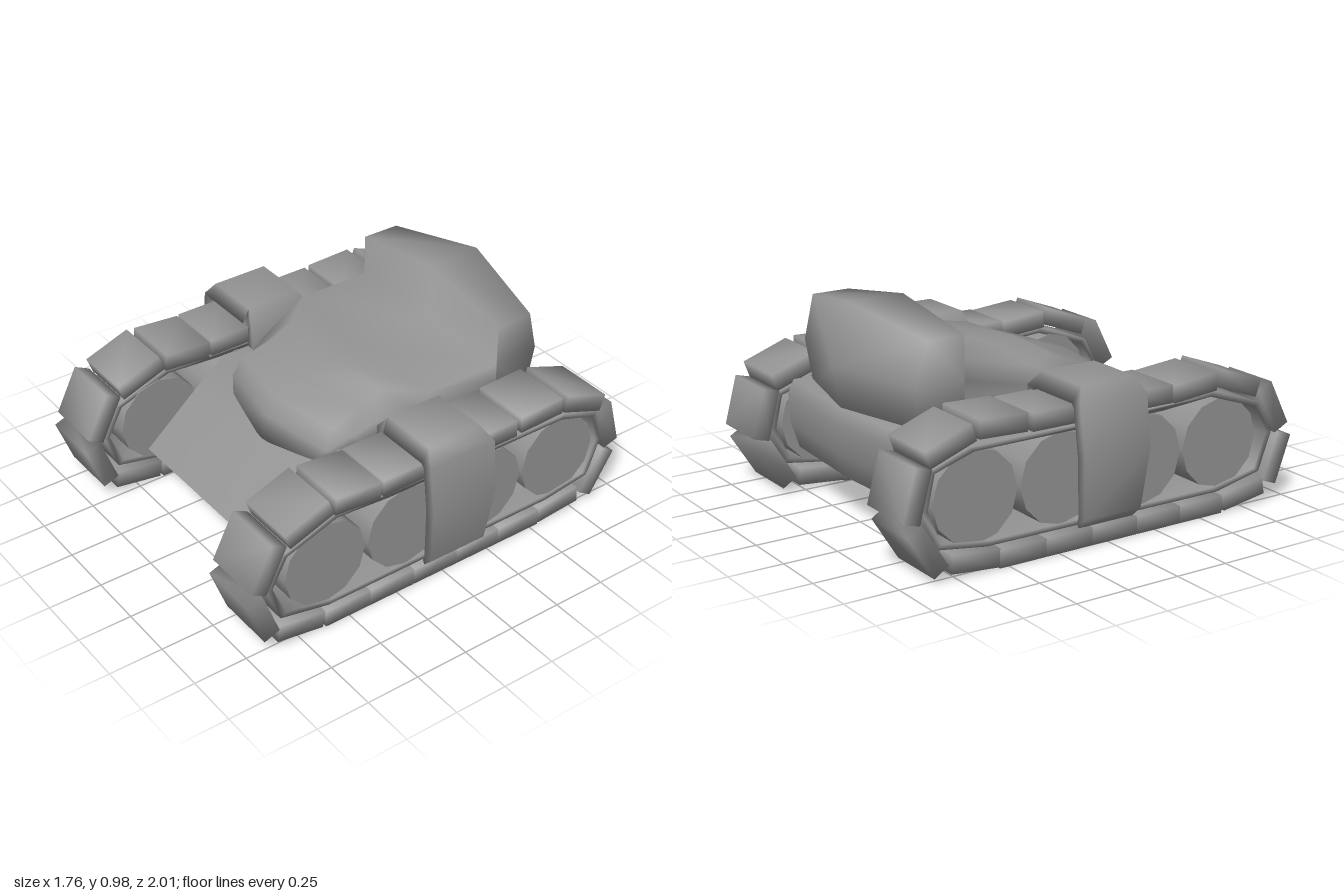
import * as THREE from 'three';
import { mergeVertices } from 'three/addons/utils/BufferGeometryUtils.js';

const paint = new THREE.MeshStandardMaterial({ color: 0x949494 });

function part(name, geometry, parent) {
  const mesh = new THREE.Mesh(geometry, paint);
  mesh.name = name;
  parent.add(mesh);
  return mesh;
}

// Welds the corners so the whole part is softly shaded
function soften(geometry) {
  geometry.deleteAttribute('normal');
  geometry.deleteAttribute('uv');
  const g = mergeVertices(geometry);
  g.computeVertexNormals();
  return g;
}

// Skins a row of equal-length closed loops and caps both ends.
function loft(loops) {
  const n = loops[0].length, pos = loops.flat(2), idx = [];
  for (let i = 0; i < loops.length - 1; i++)
    for (let j = 0; j < n; j++) {
      const a = i * n + j, b = i * n + (j + 1) % n;
      idx.push(a, b, b + n, a, b + n, a + n);
    }
  [0, loops.length - 1].forEach((row, end) => {
    const centre = pos.length / 3;
    for (let c = 0; c < 3; c++) pos.push(loops[row].reduce((s, p) => s + p[c], 0) / n);
    for (let j = 0; j < n; j++) {
      const a = row * n + j, b = row * n + (j + 1) % n;
      if (end) idx.push(centre, a, b); else idx.push(centre, b, a);
    }
  });
  // Turn the faces outward if the enclosed volume comes out negative
  let volume = 0;
  const at = i => new THREE.Vector3().fromArray(pos, i * 3);
  for (let t = 0; t < idx.length; t += 3) volume += at(idx[t]).dot(at(idx[t + 1]).cross(at(idx[t + 2])));
  if (volume < 0) idx.reverse();
  const g = new THREE.BufferGeometry();
  g.setAttribute('position', new THREE.Float32BufferAttribute(pos, 3));
  g.setIndex(idx);
  return soften(g);
}

function makeTrack() {
  const track = new THREE.Group();

  // Pads: z, y, slope in degrees
  const pads = [
    [0.7, 0.58, -20], [0.455, 0.6, 5], [0.215, 0.595, 0], [-0.03, 0.595, 0], [-0.27, 0.595, 0],
    [-0.525, 0.605, -2], [-0.775, 0.565, 20], [-0.93, 0.385, 75], [-0.885, 0.145, -58],
    [-0.66, 0.058, -5], [0.745, 0.066, 9], [0.932, 0.2, 70], [0.9, 0.44, -63]
  ];
  for (let i = 0; i < 5; i++) pads.push([-0.43 + i * 0.234, 0.042, 0]);
  const padGeometry = soften(new THREE.BoxGeometry(0.28, 0.08, 0.23));
  for (const [z, y, slope] of pads) {
    const pad = part('trackPad', padGeometry, track);
    pad.position.set(0.645, y, z);
    pad.rotation.x = -THREE.MathUtils.degToRad(slope);
  }

  // Thin belt under the pads
  const outline = [[0.57, 0.565], [0.3, 0.545], [-0.68, 0.54], [-0.87, 0.475], [-0.905, 0.31], [-0.84, 0.14],
    [-0.6, 0.105], [0.6, 0.1], [0.84, 0.15], [0.905, 0.32], [0.83, 0.47]];
  const shape = new THREE.Shape(outline.map(p => new THREE.Vector2(...p)));
  shape.holes.push(new THREE.Path(outline.map(([z, y]) =>
    new THREE.Vector2(z * 0.968, 0.33 + (y - 0.33) * 0.9))));
  const belt = new THREE.ExtrudeGeometry(shape, { depth: 0.25, bevelEnabled: false });
  part('trackBelt', soften(belt.rotateY(-Math.PI / 2).translate(0.77, 0, 0)), track);

  // Road wheels
  const wheelGeometry = new THREE.CylinderGeometry(0.203, 0.203, 0.25, 12).rotateZ(Math.PI / 2);
  for (let i = 0; i < 4; i++)
    part('roadWheel', wheelGeometry, track).position.set(0.64, 0.325, 0.61 - i * 0.42);

  // Guard arching over the track: outer x, y, front z, back z, then the same for the inner face
  const guard = [
    [0.465, 0.5, 0.13, -0.2, 0.5, 0.5, 0.13, -0.2], [0.475, 0.65, 0.13, -0.2, 0.505, 0.62, 0.13, -0.2],
    [0.525, 0.715, 0.11, -0.16, 0.53, 0.645, 0.14, -0.2], [0.8, 0.715, 0.11, -0.16, 0.79, 0.645, 0.14, -0.2],
    [0.852, 0.65, 0.14, -0.2, 0.805, 0.63, 0.14, -0.2], [0.882, 0.42, 0.14, -0.195, 0.832, 0.42, 0.14, -0.195],
    [0.85, 0.15, 0.12, -0.17, 0.805, 0.15, 0.12, -0.17], [0.8, 0.1, 0.115, -0.165, 0.79, 0.12, 0.115, -0.165]
  ];
  part('trackGuard', loft(guard.map(([x, y, f, b, u, v, p, q]) =>
    [[x, y, f], [x, y, b], [u, v, q], [u, v, p]])), track);
  return track;
}

export function createModel() {
  const model = new THREE.Group();
  model.name = 'tank';

  // Hull plate, open below: outer z, y, inner z, y, extra reach at the centre
  const hull = [
    [0.69, 0.185, 0.67, 0.165, 0], [0.41, 0.425, 0.39, 0.395, 0], [0.27, 0.53, 0.25, 0.49, 0],
    [-0.5, 0.53, -0.5, 0.49, 0], [-0.79, 0.53, -0.75, 0.49, 0.04],
    [-0.82, 0.47, -0.78, 0.45, 0.04], [-0.81, 0.33, -0.77, 0.33, 0.04], [-0.77, 0.21, -0.74, 0.22, 0.03]
  ];
  part('hull', loft(hull.map(([z, y, w, v, c]) => [
    [-0.505, y, z], [0, y, z - c], [0.505, y, z], [0.505, v, w], [0, v, w - c], [-0.505, v, w]
  ])), model);

  // Cabin with tall rear housing, in rings from back to front:
  // bottom centre, bottom edge, flank, top edge, top centre
  const backPoint = [0, 0.715, -0.86], nosePoint = [0, 0.53, 0.375];
  const cabin = [
    Array(5).fill(backPoint),
    [[0, 0.5, -0.82], [0.455, 0.5, -0.71], [0.47, 0.715, -0.74], [0.478, 0.91, -0.69], [0, 0.985, -0.78]],
    [[0, 0.5, -0.51], [0.48, 0.5, -0.51], [0.482, 0.715, -0.51], [0.48, 0.91, -0.51], [0, 0.985, -0.51]],
    [[0, 0.5, -0.51], [0.48, 0.5, -0.51], [0.482, 0.64, -0.51], [0.48, 0.715, -0.51], [0, 0.715, -0.51]],
    [[0, 0.5, -0.1], [0.49, 0.5, -0.1], [0.482, 0.62, -0.1], [0.475, 0.715, -0.15], [0, 0.715, -0.1]],
    [[0, 0.5, 0.12], [0.43, 0.5, 0.12], [0.42, 0.63, 0.1], [0.33, 0.715, 0.02], [0, 0.715, 0.06]],
    [[0, 0.5, 0.22], [0.4, 0.5, 0.22], [0.39, 0.58, 0.21], [0.33, 0.665, 0.13], [0, 0.665, 0.16]],
    [[0, 0.43, 0.41], [0.28, 0.43, 0.37], [0.36, 0.53, 0.32], [0.34, 0.62, 0.28], [0, 0.62, 0.335]],
    Array(5).fill(nosePoint)
  ];
  part('cabin', loft(cabin.map(half => [
    ...half, ...half.slice(1, -1).reverse().map(([x, y, z]) => [-x, y, z])
  ])), model).position.x = 0.01;

  // Running gear on both sides
  for (const s of [1, -1]) {
    const track = makeTrack();
    track.name = s > 0 ? 'leftTrack' : 'rightTrack';
    track.scale.x = s;
    model.add(track);
  }
  return model;
}
